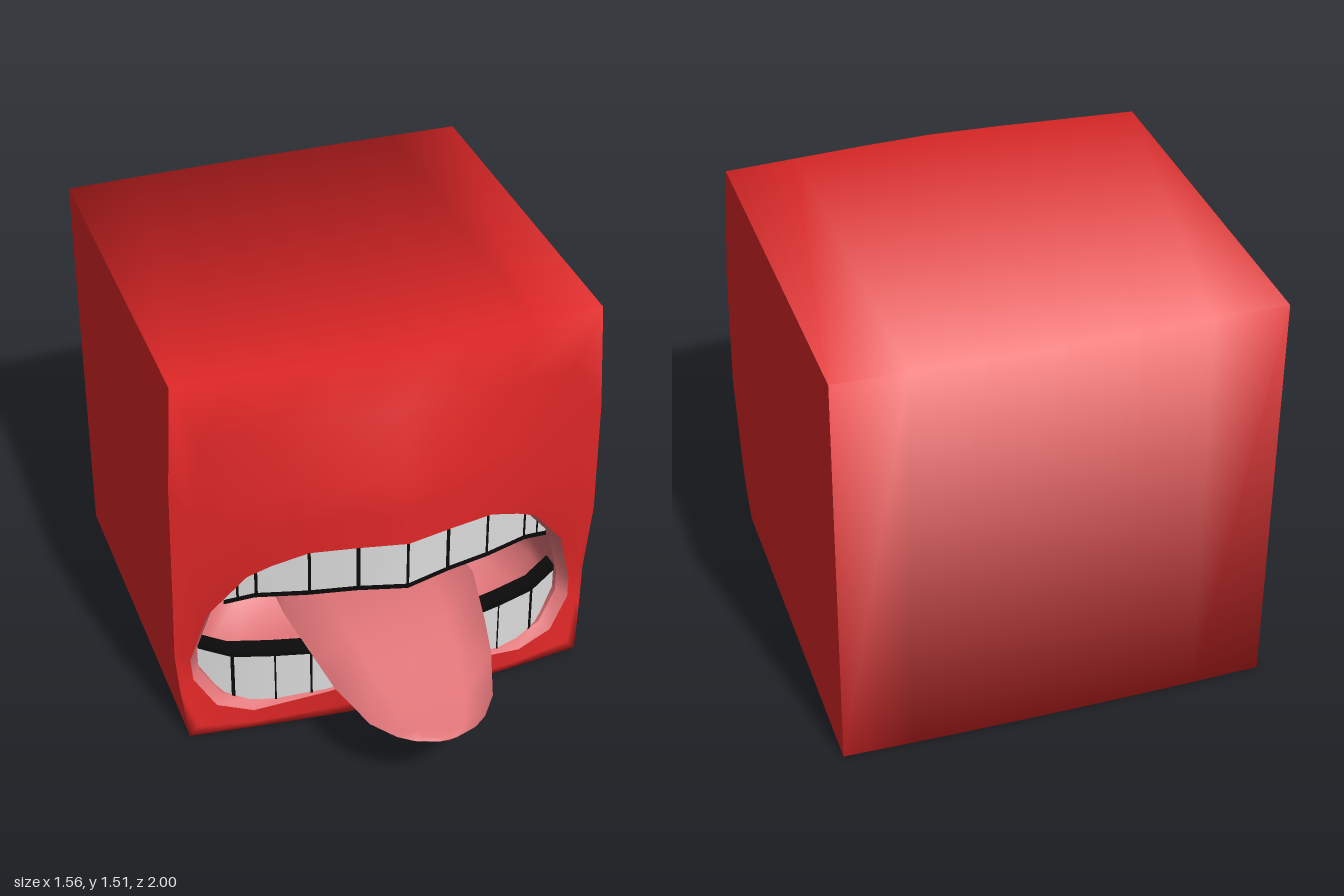
import * as THREE from 'three';
import { mergeGeometries, mergeVertices } from 'three/addons/utils/BufferGeometryUtils.js';

const material = (name, color) => new THREE.MeshStandardMaterial({ name, color, side: THREE.DoubleSide });

// Piecewise-linear lookup in a list of [input, output] pairs
function lookup(table, v) {
  for (let i = 1; i < table.length; i++) {
    const [a, p] = table[i - 1], [b, q] = table[i];
    if (v <= b) return p + (q - p) * Math.max(0, (v - a) / (b - a));
  }
  return table[table.length - 1][1];
}

// Surface through rows of [x, y, z] points
function loft(rows) {
  const n = rows[0].length, index = [];
  for (let i = 0; i < rows.length - 1; i++) {
    for (let j = 0; j < n - 1; j++) {
      const a = i * n + j, b = a + 1, c = b + n, d = a + n;
      index.push(a, b, c, a, c, d);
    }
  }
  const g = new THREE.BufferGeometry();
  g.setAttribute('position', new THREE.Float32BufferAttribute(rows.flat(2), 3));
  g.setIndex(index);
  return g;
}

// Weld patches together for smooth shading across their seams
function smooth(...patches) {
  const g = mergeVertices(mergeGeometries(patches), 1e-4);
  g.computeVertexNormals();
  return g;
}

// Strips with a hard edge between each pair of rows
function panels(rows) {
  return mergeGeometries(rows.slice(1).map((row, i) => {
    const g = loft([rows[i], row]);
    g.computeVertexNormals();
    return g;
  }));
}

// Front face: depth at the outer edge plus a bulge that fades sideways
const edgeDepth = [[0, 0.39], [0.33, 0.345], [0.7, 0.4], [1.51, 0.4]];
const bulge = [[0, 0.07], [0.18, 0.12], [0.5, 0.1], [0.83, 0.19], [1.08, 0.18], [1.51, 0.04]];
const fade = [[0, 1], [0.33, 0.62], [0.53, 0.28], [0.75, 0]];
const frontZ = (x, y) => lookup(edgeDepth, y) + lookup(bulge, y) * lookup(fade, Math.abs(x));

// Half outlines from top centre to bottom centre: mouth opening and outer edge
const mouthHalf = [[0, 0.83], [0.17, 0.827], [0.33, 0.82], [0.45, 0.762], [0.53, 0.715], [0.66, 0.54],
  [0.72, 0.32], [0.715, 0.24], [0.64, 0.12], [0.51, 0.075], [0.24, 0.12], [0, 0.18]];
const outerHalf = [[0, 1.51], [0.25, 1.51], [0.5, 1.508], [0.753, 1.505], [0.775, 1.1], [0.78, 0.65],
  [0.775, 0.35], [0.765, 0.2], [0.745, 0.005], [0.5, 0], [0.25, 0], [0, 0]];
const ring = (half) => [...half, ...half.slice(1, -1).reverse().map(([x, y]) => [-x, y]), half[0]];

function addHead(group, red) {
  const mouth = ring(mouthHalf), outer = ring(outerHalf);
  const rows = [0, 0.18, 0.37, 0.7, 1].map((t) => mouth.map(([mx, my], i) => {
    const x = mx + (outer[i][0] - mx) * t, y = my + (outer[i][1] - my) * t;
    return [x, y, frontZ(x, y)];
  }));
  const rim = rows[4];
  const pick = (ids) => ids.map((i) => rim[i]);
  const top = pick([19, 20, 21, 0, 1, 2, 3]), bottom = pick([14, 13, 12, 11, 10, 9, 8]);
  const toBack = (row, y) => row.map(([x]) => {
    const u = x / Math.abs(row[0][0]);
    return [u * 0.75, y, -1 + 0.01 * u * u];
  });
  const wrap = loft([top, toBack(top, 1.5), toBack(bottom, 0.005), bottom]);
  const shell = new THREE.Mesh(smooth(loft(rows), wrap), red);
  shell.name = 'headShell';
  group.add(shell);

  // Flat cheeks
  for (const [name, ids] of [['leftSide', [3, 4, 5, 6, 7, 8]], ['rightSide', [14, 15, 16, 17, 18, 19]]]) {
    const front = pick(ids);
    const back = front.map(([x, y]) => [Math.sign(x) * 0.75, Math.min(y, 1.5), -0.99]);
    const side = new THREE.Mesh(smooth(loft([front, back])), red);
    side.name = name;
    group.add(side);
  }
}

function addMouth(group, pink) {
  // Lip bevel and cavity, shrinking towards the throat
  const cy = 0.45, mouth = ring(mouthHalf);
  const cavity = [[1, 0], [0.955, -0.04], [0.94, 0.1], [0.72, -0.15], [0, -0.2]].map(([s, z], k) =>
    mouth.map(([x, y]) => [x * s, cy + (y - cy) * s, k < 2 ? frontZ(x, y) + z : z]));
  const lips = new THREE.Mesh(panels(cavity.slice(0, 2).reverse()), pink);
  lips.name = 'innerLips';
  const throat = new THREE.Mesh(smooth(loft(cavity.slice(1).reverse())), pink);
  throat.name = 'mouthCavity';
  group.add(lips, throat);

  // Tongue sections: z, half width, top, edge and bottom heights
  const sections = [[-0.12, 0.34, 0.4, 0.36, 0.3], [0.3, 0.36, 0.455, 0.4, 0.36], [0.52, 0.32, 0.42, 0.36, 0.31],
    [0.66, 0.29, 0.382, 0.325, 0.28], [0.84, 0.225, 0.335, 0.295, 0.257], [0.93, 0.16, 0.315, 0.295, 0.268],
    [0.97, 0.11, 0.308, 0.296, 0.28], [1, 0.03, 0.3, 0.297, 0.292]];
  const outline = sections.map(([z, w, t, e, b]) => {
    const m = e + (t - e) * 0.75;
    return [[-w, e, z], [-w * 0.55, m, z], [0, t, z], [w * 0.55, m, z], [w, e, z],
      [w * 0.75, b + 0.005, z], [0, b, z], [-w * 0.75, b + 0.005, z], [-w, e, z]];
  });
  const tip = outline[0].map(() => [0, 0.296, 1]);
  const tongue = new THREE.Mesh(smooth(loft([tip, ...outline.reverse()])), pink);
  tongue.name = 'tongue';
  group.add(tongue);
}

// Curved row of teeth from [x, top, bottom, z] stations, with dark gaps and biting edge
function addTeeth(group, name, half, gaps, upper, white, black) {
  const path = [...half.slice(1).reverse().map(([x, ...r]) => [-x, ...r]), ...half];
  const row = (y, dz) => path.map((p) => [p[0], y(p), p[3] + dz]);
  const top = (d) => (p) => p[1] + d, low = (d) => (p) => p[2] + d;

  const teeth = new THREE.Mesh(panels([row(low(0), -0.06), row(low(0), 0), row(top(0), 0), row(top(0), -0.06)]), white);
  teeth.name = name;

  const edge = new THREE.Mesh(panels(upper
    ? [row(low(-0.003), -0.06), row(low(-0.003), 0.004), row(low(0.016), 0.004)]
    : [row(top(-0.02), 0.004), row(top(0.003), 0.004), row(top(0.003), -0.06)]), black);
  edge.name = name + 'Edge';
  group.add(teeth, edge);

  const at = (x, k) => lookup(half.map((p) => [p[0], p[k]]), Math.abs(x));
  for (const [gx, w] of gaps) {
    for (const s of gx ? [-1, 1] : [1]) {
      const xs = [s * gx - w, s * gx + w];
      const line = (k) => xs.map((x) => [x, at(x, k), at(x, 3) + 0.004]);
      const gap = new THREE.Mesh(panels([line(2), line(1)]), black);
      gap.name = name + 'Gap';
      group.add(gap);
    }
  }
}

export function createModel() {
  const group = new THREE.Group();
  group.name = 'cubeHead';
  const red = material('red skin', 0xdd2626);
  const pink = material('mouth pink', 0xe07478);
  const white = material('tooth white', 0xdcdcdc);
  const black = material('gap black', 0x0a0a0a);

  addHead(group, red);
  addMouth(group, pink);
  addTeeth(group, 'upperTeeth',
    [[0, 0.84, 0.64, 0.583], [0.17, 0.837, 0.638, 0.535], [0.33, 0.83, 0.63, 0.495], [0.5, 0.745, 0.61, 0.425], [0.6, 0.63, 0.575, 0.385]],
    [[0, 0.005], [0.163, 0.007], [0.325, 0.005], [0.495, 0.005], [0.555, 0.004]], true, white, black);
  addTeeth(group, 'lowerTeeth',
    [[0, 0.315, 0.17, 0.465], [0.25, 0.315, 0.12, 0.435], [0.43, 0.318, 0.095, 0.395], [0.57, 0.32, 0.1, 0.355], [0.68, 0.347, 0.22, 0.3]],
    [[0, 0.004], [0.16, 0.003], [0.3, 0.004], [0.425, 0.003], [0.57, 0.006]], false, white, black);
  return group;
}
